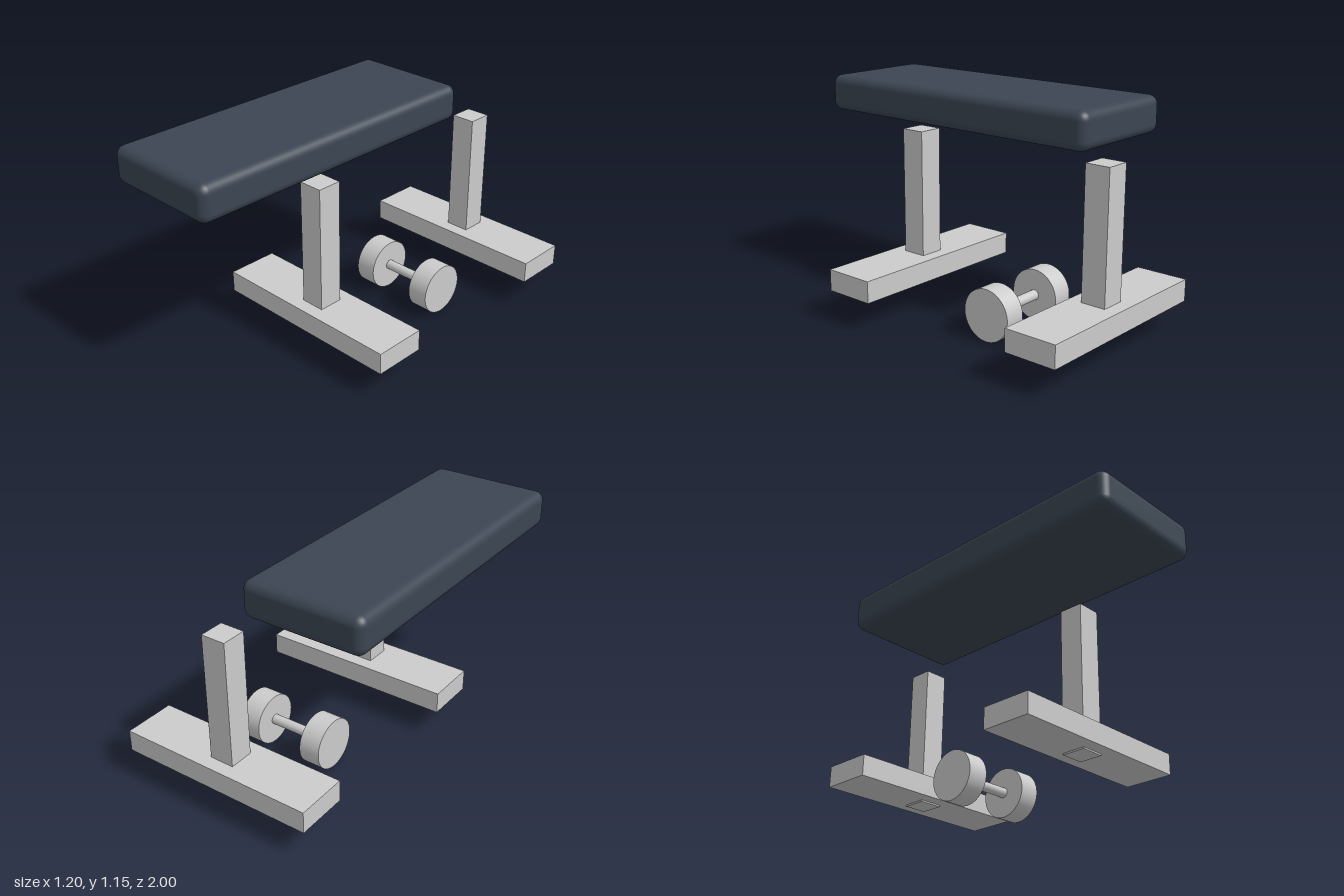
import * as THREE from 'three';
import { RoundedBoxGeometry } from 'three/addons/geometries/RoundedBoxGeometry.js';

export function createModel() {
  const group = new THREE.Group();
  group.name = 'weightBench';
  const metal = new THREE.MeshStandardMaterial({ color: 0xcccccc });
  const leather = new THREE.MeshStandardMaterial({ color: 0x3b4552 });

  const add = (name, geometry, material, x, y, z, parent = group) => {
    const mesh = new THREE.Mesh(geometry, material);
    mesh.name = name;
    mesh.position.set(x, y, z);
    parent.add(mesh);
    return mesh;
  };

  // Padded seat, offset to one side of the stands
  add('benchPad', new RoundedBoxGeometry(0.66, 0.197, 1.735, 6, 0.05), leather, -0.27, 1.047, 0.1325);

  // Two stands: a wide foot with a post that pokes slightly through it
  const footGeometry = new THREE.BoxGeometry(1.074, 0.115, 0.278);
  const postGeometry = new THREE.BoxGeometry(0.132, 0.794, 0.132);
  for (const [name, z] of [['front', 0.296], ['rear', -0.861]]) {
    add(name + 'Foot', footGeometry, metal, 0.06, 0.205, z);
    add(name + 'Post', postGeometry, metal, 0.06, 0.536, z);
  }

  // Dumbbell lying on the floor between the stands, its axis along x
  const dumbbell = new THREE.Group();
  dumbbell.name = 'dumbbell';
  dumbbell.position.set(0.06, 0.136, -0.365);
  group.add(dumbbell);
  const weightGeometry = new THREE.CylinderGeometry(0.136, 0.136, 0.116, 48).rotateZ(Math.PI / 2);
  const handleGeometry = new THREE.CylinderGeometry(0.027, 0.027, 0.38, 24).rotateZ(Math.PI / 2);
  add('handle', handleGeometry, metal, 0, 0, 0, dumbbell);
  for (const side of [-1, 1]) {
    add(side > 0 ? 'leftWeight' : 'rightWeight', weightGeometry, metal, side * 0.19, 0, 0, dumbbell);
  }

  return group;
}
